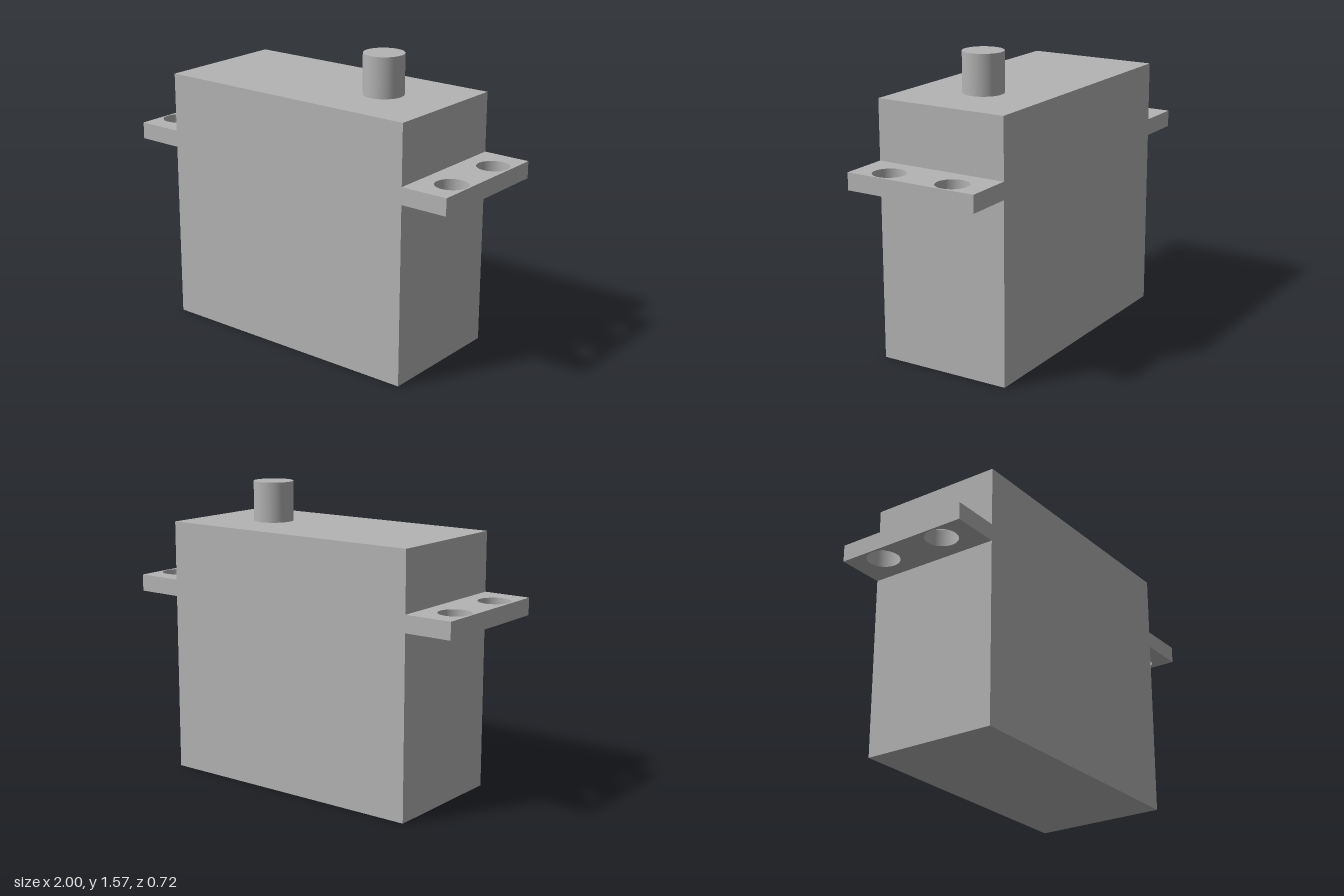
import * as THREE from 'three';

const HALF_X = 0.745, HALF_Z = 0.362, BODY_H = 1.36;

// Flat mounting ear with two screw holes, reaching out along +x
function earGeometry() {
  const shape = new THREE.Shape();
  shape.moveTo(HALF_X, -HALF_Z);
  shape.lineTo(1, -HALF_Z);
  shape.lineTo(1, HALF_Z);
  shape.lineTo(HALF_X, HALF_Z);
  shape.closePath();
  for (const z of [-0.182, 0.182]) {
    const hole = new THREE.Path();
    hole.absarc(0.907, z, 0.084, 0, Math.PI * 2, true);
    shape.holes.push(hole);
  }
  const geo = new THREE.ExtrudeGeometry(shape, { depth: 0.09, bevelEnabled: false, curveSegments: 48 });
  return geo.rotateX(-Math.PI / 2);
}

export function createModel() {
  const model = new THREE.Group();
  model.name = 'servoMotor';
  const grey = new THREE.MeshStandardMaterial({ color: 0xb4b4b4 });
  grey.name = 'grey';

  const add = (name, geometry, x, y, z) => {
    const mesh = new THREE.Mesh(geometry, grey);
    mesh.name = name;
    mesh.position.set(x, y, z);
    model.add(mesh);
    return mesh;
  };

  // Case
  add('body', new THREE.BoxGeometry(HALF_X * 2, BODY_H, HALF_Z * 2), 0, BODY_H / 2, 0);

  // Mounting ears, the second turned half a circle
  const ear = earGeometry();
  add('leftMountingEar', ear, 0, 0.955, 0);
  add('rightMountingEar', ear, 0, 0.955, 0).rotation.y = Math.PI;

  // Output shaft
  add('outputShaft', new THREE.CylinderGeometry(0.106, 0.106, 0.212, 64), 0.363, BODY_H + 0.106, 0);

  return model;
}
